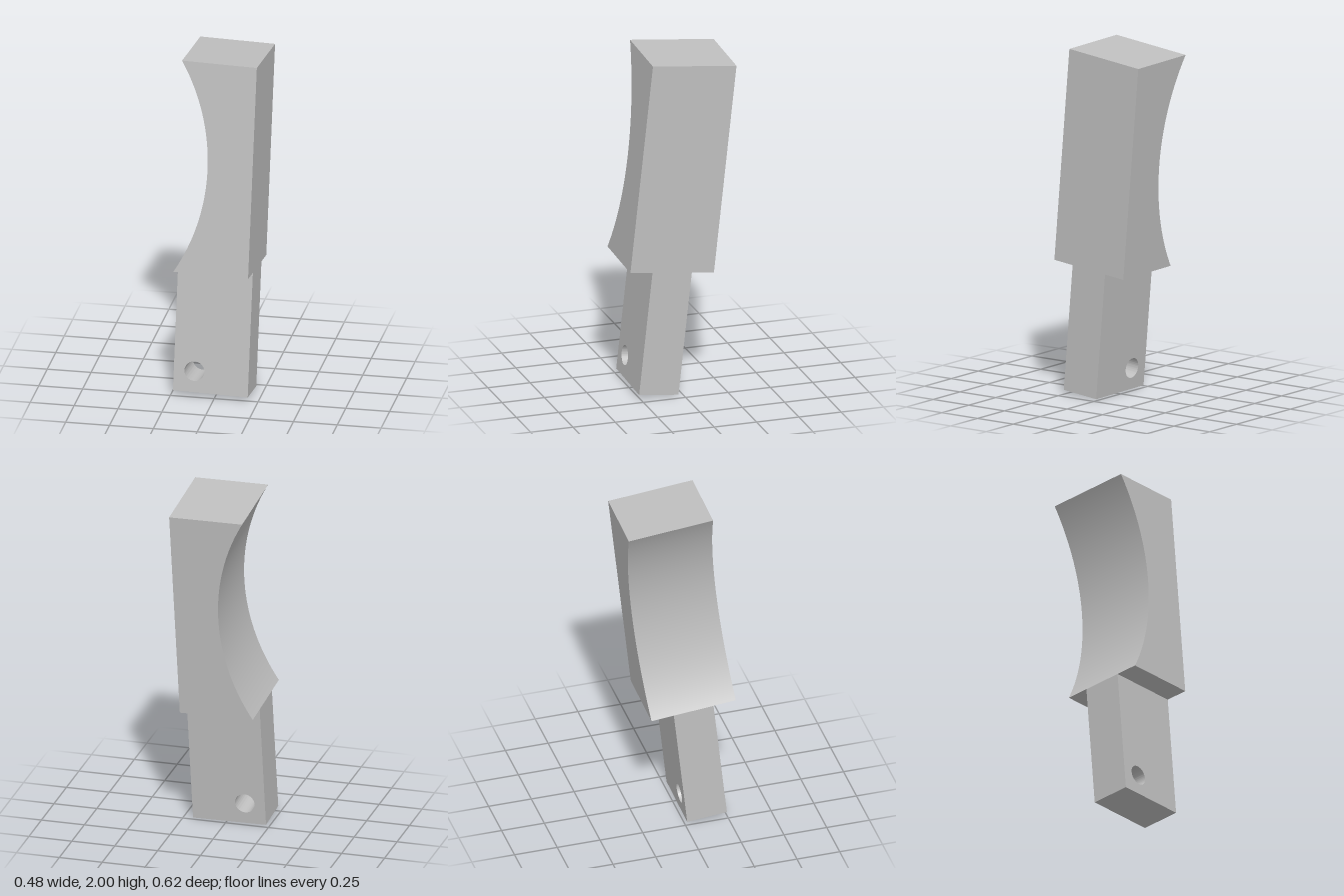
import * as THREE from 'three';
import { toCreasedNormals } from 'three/addons/utils/BufferGeometryUtils.js';

const WIDTH = 0.428;
const HALF = WIDTH / 2;

// Extrudes an outline to a given depth, centred on z = 0
function extrudePart(name, shape, depth, material) {
  const extruded = new THREE.ExtrudeGeometry(shape, { depth, bevelEnabled: false, curveSegments: 48 });
  extruded.translate(0, 0, -depth / 2);
  const mesh = new THREE.Mesh(toCreasedNormals(extruded, 0.5), material);
  mesh.name = name;
  return mesh;
}

export function createModel() {
  const grey = new THREE.MeshStandardMaterial({ color: 0xbfbfbf });
  grey.name = 'plain grey';

  // Thick block, scooped along its right side from corner to corner
  const height = 1.235, scoop = 0.171;
  const radius = ((height / 2) ** 2 + scoop ** 2) / (2 * scoop);
  const angle = Math.asin(height / 2 / radius);
  const blockShape = new THREE.Shape();
  blockShape.moveTo(-HALF, 0);
  blockShape.lineTo(HALF, 0);
  blockShape.lineTo(HALF, height);
  blockShape.lineTo(-HALF, height);
  blockShape.absarc(-HALF + scoop - radius, height / 2, radius, angle, -angle, true);

  // Thinner tang below the shoulder, with a round hole near one corner
  const tangLength = 0.73;
  const tangShape = new THREE.Shape();
  tangShape.moveTo(-HALF, -tangLength);
  tangShape.lineTo(HALF, -tangLength);
  tangShape.lineTo(HALF, 0);
  tangShape.lineTo(-HALF, 0);
  tangShape.closePath();
  const hole = new THREE.Path();
  hole.absarc(-HALF + 0.118, -tangLength + 0.123, 0.057, 0, Math.PI * 2, true);
  tangShape.holes.push(hole);

  const body = new THREE.Group();
  body.name = 'tiltedBody';
  body.add(
    extrudePart('scoopedBlock', blockShape, 0.493, grey),
    extrudePart('tang', tangShape, 0.232, grey),
  );

  // Lean the whole piece backwards and slightly sideways
  const up = new THREE.Vector3(0.021, 0.995, -0.101).normalize();
  const front = new THREE.Vector3(-0.0184, 0.1, 0.995);
  const side = new THREE.Vector3().crossVectors(up, front).normalize();
  front.crossVectors(side, up);
  body.quaternion.setFromRotationMatrix(new THREE.Matrix4().makeBasis(side, up, front));
  body.position.set(-0.0045, 0.742, 0.0617);

  const model = new THREE.Group();
  model.name = 'scoopedHandle';
  model.add(body);
  return model;
}
